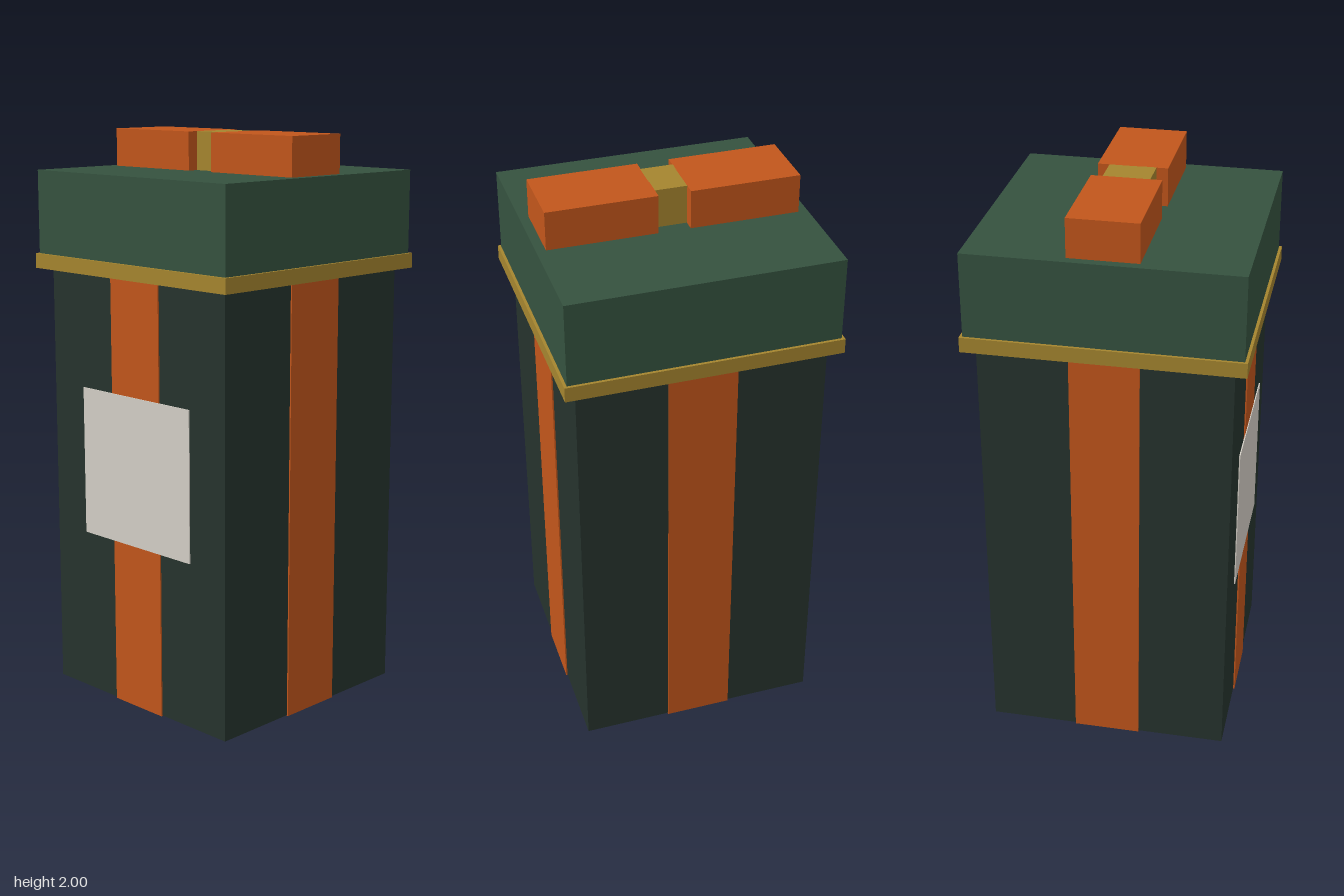
import * as THREE from 'three';

const paint = (color) => new THREE.MeshStandardMaterial({ color });

export function createModel() {
  const model = new THREE.Group();
  model.name = 'giftBox';

  const darkGreen = paint(0x26332d);
  const green = paint(0x35523f);
  const orange = paint(0xc2561b);
  const gold = paint(0xa5852f);
  const cream = paint(0xd4cfc6);

  // Box spanning y0..y1, centred on x and z
  const block = (name, material, width, depth, y0, y1, x = 0, z = 0) => {
    const mesh = new THREE.Mesh(new THREE.BoxGeometry(width, y1 - y0, depth), material);
    mesh.name = name;
    mesh.position.set(x, (y0 + y1) / 2, z);
    model.add(mesh);
  };

  // Tall box with a ribbon wrapped both ways, standing just proud of every face
  block('body', darkGreen, 0.85, 0.85, 0.002, 1.55);
  block('ribbonFrontBack', orange, 0.235, 0.86, 0, 1.54);
  block('ribbonSides', orange, 0.86, 0.235, 0, 1.54);

  // Lid with a trim band around its lower edge
  block('lid', green, 0.916, 0.916, 1.55, 1.867);
  block('lidTrim', gold, 0.936, 0.936, 1.525, 1.577);

  // Bow on the lid: two loops and a knot
  for (const [name, side] of [['bowLeft', 1], ['bowRight', -1]]) {
    block(name, orange, 0.372, 0.237, 1.86, 2, side * 0.24);
  }
  block('bowKnot', gold, 0.112, 0.158, 1.86, 2);

  // Blank label on the front
  block('label', cream, 0.53, 0.004, 0.592, 1.12, 0, 0.431);

  return model;
}
